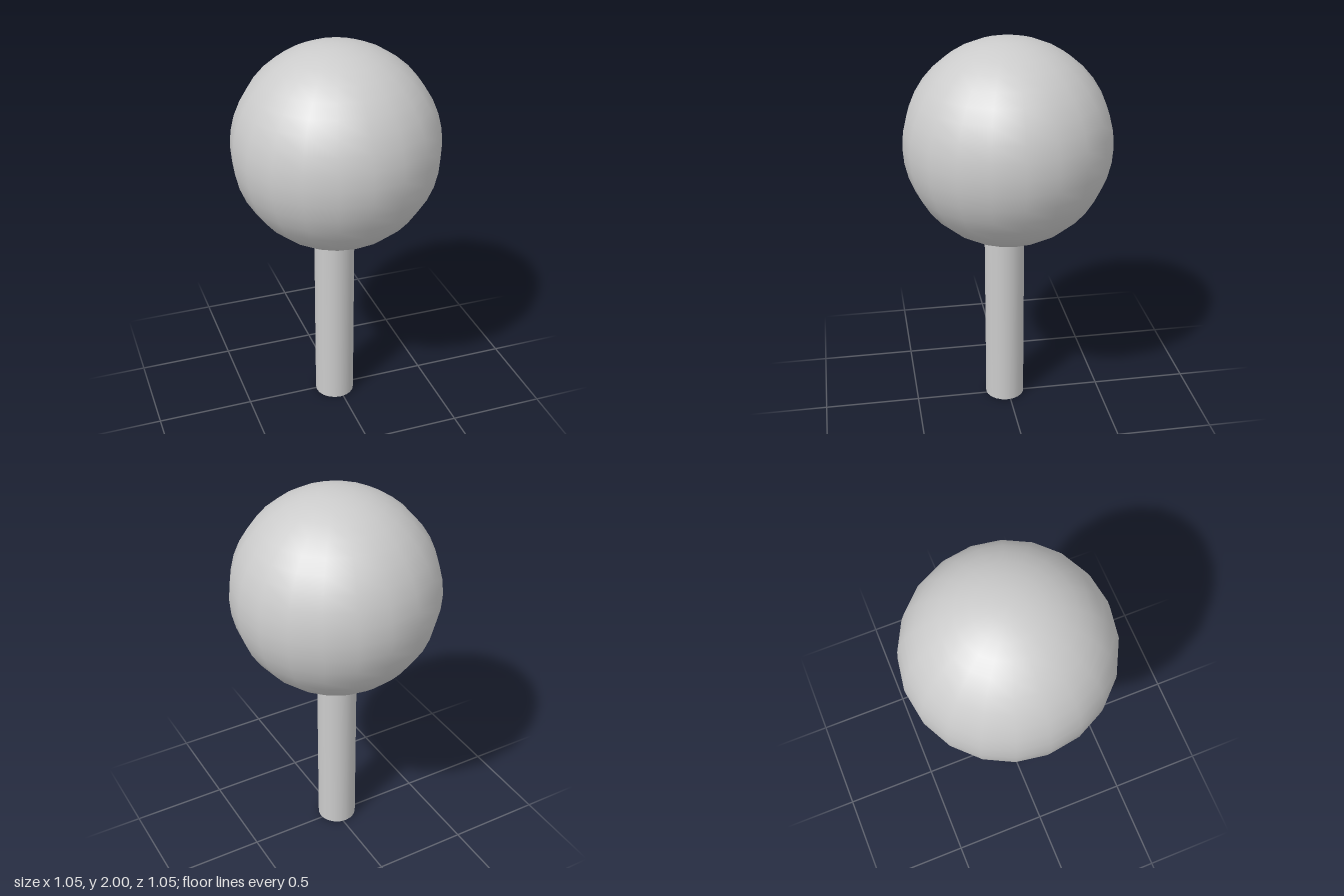
import * as THREE from 'three';

export function createModel() {
  const group = new THREE.Group();
  const material = new THREE.MeshStandardMaterial({ color: 0xcccccc });

  const addPart = (name, geometry, x, y, z) => {
    const mesh = new THREE.Mesh(geometry, material);
    mesh.name = name;
    mesh.position.set(x, y, z);
    group.add(mesh);
  };

  // Round crown
  const radius = 0.526;
  addPart('crown', new THREE.SphereGeometry(radius, 20, 20), 0, 2 - radius, 0);

  // Trunk, slightly off centre, its top sunk into the crown
  const trunkHeight = 1;
  addPart('trunk', new THREE.CylinderGeometry(0.104, 0.104, trunkHeight, 20), -0.016, trunkHeight / 2, 0.016);

  return group;
}
